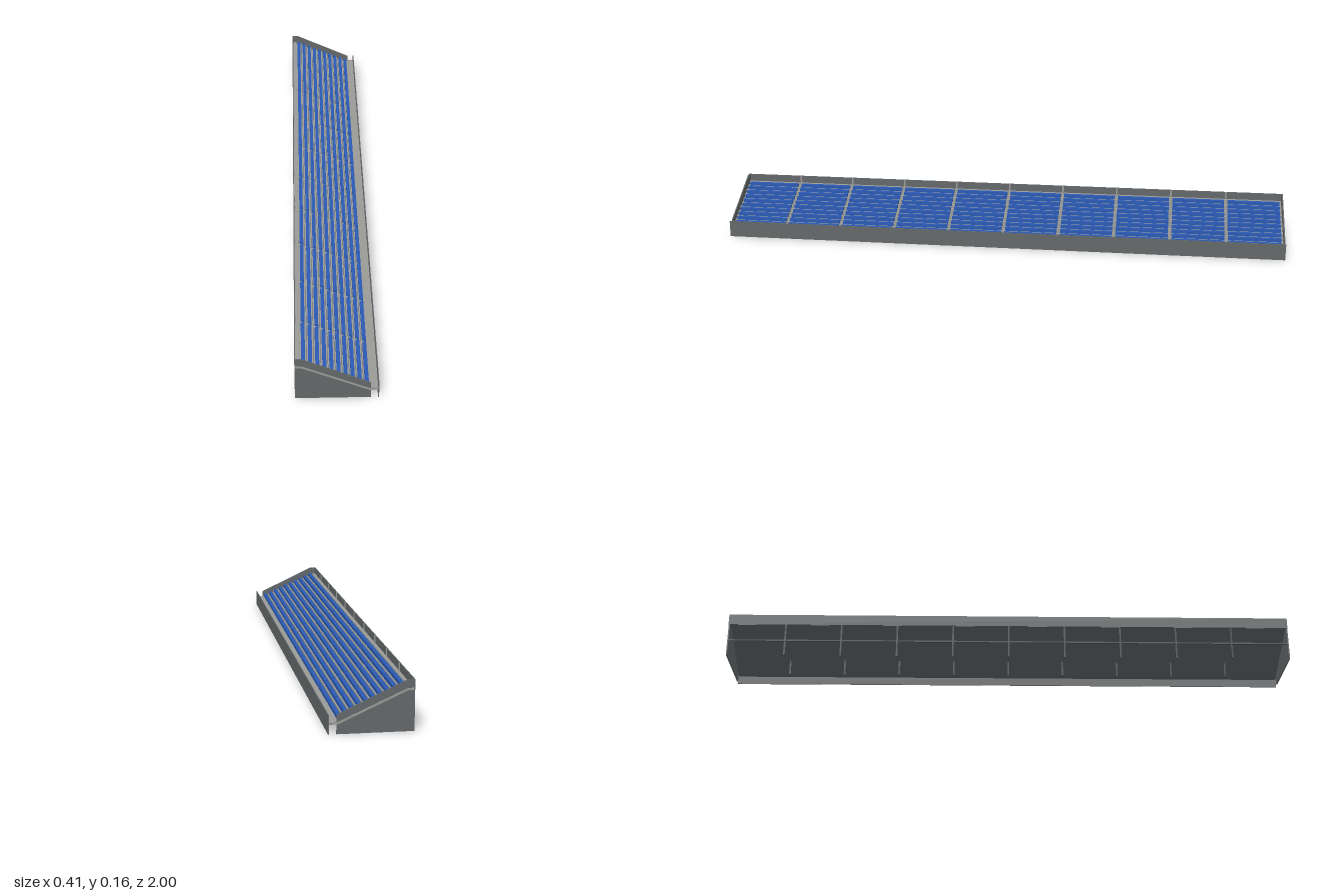
import * as THREE from 'three';

const L = 1.986, HALF = L / 2, W = 0.257, HW = W / 2;
const ROWS = 10, PITCH = 0.0215, RISE = 0.0094;
const NOSE_X = 0.102, WALK_Y = 0.037, REAR_Y = 0.131;
const WALL_T = 0.003;

const mat = (name, color) => new THREE.MeshStandardMaterial({ name, color });

export function createModel() {
  const concrete = mat('concrete', 0x9a9a96);
  const wall = mat('wallGrey', 0x64686a);
  const steel = mat('darkSteel', 0x444648);
  const blue = mat('seatBlue', 0x2a5ab4);

  const model = new THREE.Group();
  model.name = 'grandstand';
  const stand = new THREE.Group();
  stand.name = 'stand';
  stand.rotation.y = -0.0781;
  model.add(stand);

  // box given by its limits on each axis
  const box = (name, m, x0, x1, y0, y1, z0, z1, parent = stand) => {
    const mesh = new THREE.Mesh(new THREE.BoxGeometry(x1 - x0, y1 - y0, z1 - z0), m);
    mesh.position.set((x0 + x1) / 2, (y0 + y1) / 2, (z0 + z1) / 2);
    mesh.name = name;
    parent.add(mesh);
    return mesh;
  };
  // side profile swept along the length
  const sweep = (name, m, pts, z0, z1) => {
    const shape = new THREE.Shape(pts.map(([x, y]) => new THREE.Vector2(x, y)));
    const geo = new THREE.ExtrudeGeometry(shape, { depth: z1 - z0, bevelEnabled: false });
    const mesh = new THREE.Mesh(geo, m);
    mesh.position.z = z0;
    mesh.name = name;
    stand.add(mesh);
  };

  // stepped terrace with a walkway at the bottom and the top
  const inner = HALF - 0.004;
  const rearX = -HW + WALL_T, frontX = HW - WALL_T;
  const steps = [[frontX, WALK_Y - 0.007], [frontX, WALK_Y]];
  for (let k = 0; k < ROWS; k++) {
    const x = NOSE_X - (k + 1) * PITCH, y = WALK_Y + k * RISE;
    steps.push([x, y], [x, y + RISE]);
  }
  steps.push([rearX, REAR_Y], [rearX, REAR_Y - 0.011], [-0.108, REAR_Y - 0.011], [0.0985, WALK_Y - 0.007]);
  sweep('terrace', concrete, steps, -inner, inner);

  // dark soffit plate under the terrace
  sweep('soffit', wall, [
    [frontX, WALK_Y - 0.0085], [frontX, WALK_Y - 0.007], [0.0985, WALK_Y - 0.007],
    [-0.108, REAR_Y - 0.011], [rearX, REAR_Y - 0.011], [rearX, REAR_Y - 0.0125],
    [-0.108, REAR_Y - 0.0125], [0.0985, WALK_Y - 0.0085],
  ], -inner, inner);

  // parapet walls along the front and the rear
  box('frontWall', wall, HW - WALL_T, HW, 0, 0.058, -HALF, HALF);
  box('rearWall', wall, -HW, -HW + WALL_T, 0.119, 0.157, -HALF, HALF);

  // end walls, each with a pale raking band on its outer face
  const endProfile = [[-HW, 0], [0.1035, 0], [0.1035, 0.058], [-0.1075, 0.157], [-HW, 0.157]];
  const band = [
    [-HW, REAR_Y - 0.0065], [-0.109, REAR_Y - 0.0065], [0.0985, WALK_Y - 0.0065], [HW - WALL_T, WALK_Y - 0.0065],
    [HW - WALL_T, WALK_Y], [0.1, WALK_Y], [-0.1075, REAR_Y], [-HW, REAR_Y],
  ];
  for (const s of [-1, 1]) {
    const span = (a, b) => (s > 0 ? [a, b] : [-b, -a]);
    sweep('endWall', wall, endProfile, ...span(HALF - 0.005, HALF - 0.001));
    sweep('endBand', concrete, band, ...span(HALF - 0.002, HALF));
  }

  // bench rows, divided by aisles
  const BAYS = 10, BAY = (2 * inner - 0.004) / BAYS, AISLE = 0.012;
  const seats = new THREE.Group();
  seats.name = 'seats';
  stand.add(seats);
  for (let k = 0; k < ROWS; k++) {
    const x = 0.0975 - k * PITCH, y = WALK_Y + k * RISE;
    for (let b = 0; b < BAYS; b++) {
      const z = (b - BAYS / 2) * BAY;
      box('seatRow', blue, x - 0.012, x, y, y + 0.0115, z + AISLE / 2, z + BAY - AISLE / 2, seats);
    }
  }

  for (let b = 1; b < BAYS; b++) {
    const z = (b - BAYS / 2) * BAY;
    // half steps in each aisle
    for (let k = 0; k < ROWS; k++) {
      const x = NOSE_X - (k + 1) * PITCH, y = WALK_Y + k * RISE;
      box('aisleStep', concrete, x, x + PITCH / 2, y, y + RISE / 2, z - AISLE / 2, z + AISLE / 2);
    }
    // rib on the inside of the rear wall
    box('wallRib', concrete, rearX, rearX + 0.003, REAR_Y, 0.157, z - 0.003, z + 0.003);
    // supporting posts
    box('rearPost', steel, -HW + 0.001, -HW + 0.007, 0, REAR_Y - 0.012, z - 0.003, z + 0.003);
    box('frontPost', steel, 0.034, 0.04, 0, 0.054, z - 0.003, z + 0.003);
  }
  // rail tying the rear posts together
  box('rearRail', steel, -HW + 0.002, -HW + 0.006, 0.056, 0.061, -inner, inner);

  return model;
}
